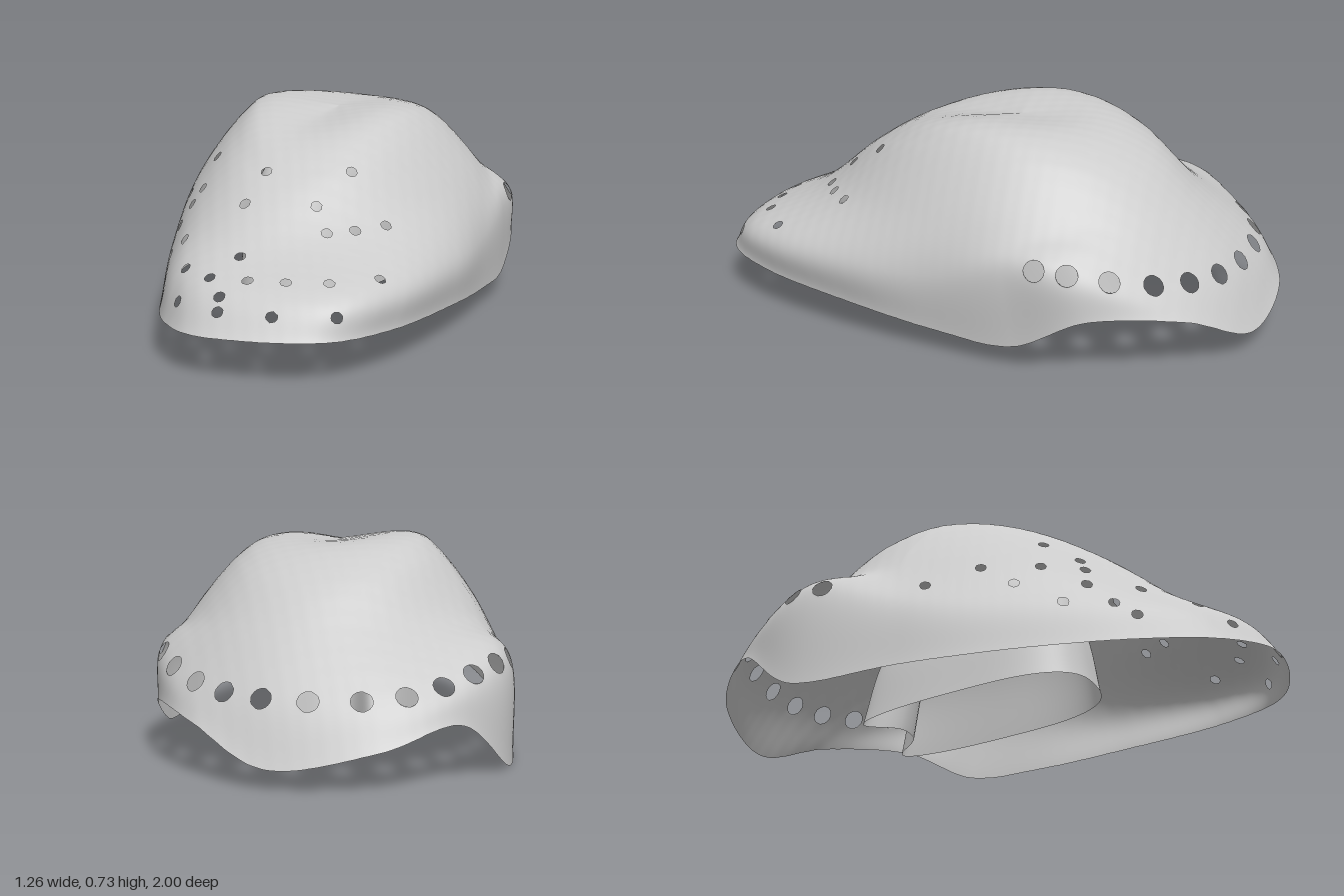
import * as THREE from 'three';

const material = new THREE.MeshStandardMaterial({ color: 0xcccccc, roughness: 0.8, side: THREE.DoubleSide });

// Lower rim of the shell, starting at the front and running round over +x
const rim = new THREE.CatmullRomCurve3([
  [0.05, 0.13, 1], [0.4, 0.13, 0.92], [0.55, 0.12, 0.66], [0.61, 0.1, 0.25],
  [0.605, 0.07, -0.1], [0.59, 0.07, -0.38], [0.54, 0.19, -0.63], [0.33, 0.17, -0.88],
  [0.05, 0.06, -1], [-0.3, 0.12, -0.95], [-0.52, 0.18, -0.75], [-0.63, 0, -0.5],
  [-0.575, 0.03, -0.14], [-0.475, 0.065, 0.2], [-0.325, 0.1, 0.58], [-0.16, 0.12, 0.87],
].map((p) => new THREE.Vector3(...p)), true, 'catmullrom', 0.5);

// Flank just above the rim: the rim drawn slightly in and lifted, highest beside the back
function flank(u) {
  const p = rim.getPoint(u);
  const y = 0.25 + 0.1 * Math.exp(-(((p.z + 0.53) / 0.33) ** 2));
  return new THREE.Vector3(p.x * (p.x > 0 ? 1.01 : 0.97), y, p.z * 0.9);
}

// Oval contour: half width, middle z, reach to front and back, heights at front, sides and back
function oval(width, midZ, front, back, yFront, ySide, yBack) {
  return (u) => {
    const s = Math.sin(u * 2 * Math.PI), c = Math.cos(u * 2 * Math.PI);
    const taper = s < 0 ? 1 - 0.22 * Math.max(0, c) : 1;
    return new THREE.Vector3(
      0.035 + width * s * taper,
      ySide + ((c > 0 ? yFront : yBack) - ySide) * c * c - 0.008 * s,
      midZ + (c > 0 ? front : back) * c,
    );
  };
}

const shellRings = [
  oval(0.23, -0.1, 0.36, 0.27, 0.64, 0.71, 0.69),
  oval(0.35, -0.14, 0.61, 0.43, 0.53, 0.65, 0.605),
  oval(0.5, -0.18, 0.88, 0.55, 0.35, 0.46, 0.46),
  flank,
  rim.getPoint.bind(rim),
];

// Contour of the inner cup: a rounded box in plan, folded inwards at the back
function cupRing(size, lift) {
  const square = (v) => Math.sign(v) * Math.abs(v) ** 0.7;
  return (u) => {
    const s = Math.sin(u * 2 * Math.PI), c = Math.cos(u * 2 * Math.PI);
    const fold = 0.22 * Math.max(0, -c) ** 8;
    const z = size * ((c > 0 ? 0.4 : 0.53) * square(c) - 0.05 + fold);
    return new THREE.Vector3(size * 0.23 * square(s), lift + 0.1 * z, z);
  };
}

// Rows of small vents over the front and sides: height, first x, last x, count
const ventRows = [
  [0.2, -0.29, 0.44, 5], [0.25, -0.38, -0.31, 2], [0.24, 0.06, 0.06, 1], [0.28, -0.13, 0.5, 6],
  [0.33, -0.52, -0.22, 4], [0.33, 0.05, 0.05, 1], [0.41, -0.43, -0.28, 3], [0.39, 0.28, 0.43, 3],
  [0.46, -0.25, 0.22, 3], [0.55, -0.26, 0.28, 3],
];

// Grid of points lofted outwards from a centre through closed rings
function loftPoints(centre, rings, around, out) {
  const points = [];
  for (let i = 0; i < around; i++) {
    const rib = new THREE.CatmullRomCurve3([centre, ...rings.map((ring) => ring(i / around))], false, 'catmullrom', 0.5);
    for (let j = 0; j <= out; j++) points.push(rib.getPoint(j / out));
  }
  return points;
}

// Smooth sheet over the grid, leaving out the triangles that skip() rejects
function sheet(name, points, around, out, skip = () => false) {
  const index = [];
  const add = (a, b, c) => { if (!skip(points[a], points[b], points[c])) index.push(a, b, c); };
  for (let i = 0; i < around; i++) {
    const p = i * (out + 1), q = ((i + 1) % around) * (out + 1);
    for (let j = 0; j < out; j++) {
      add(p + j, p + j + 1, q + j + 1);
      if (j > 0) add(p + j, q + j + 1, q + j);
    }
  }
  const geometry = new THREE.BufferGeometry().setFromPoints(points);
  geometry.setIndex(index);
  geometry.computeVertexNormals();
  const mesh = new THREE.Mesh(geometry, material);
  mesh.name = name;
  return mesh;
}

function createShell() {
  const around = 480, out = 120;
  const points = loftPoints(new THREE.Vector3(0.05, 0.692, -0.1), shellRings, around, out);

  // Slightly uneven, hand-worked surface
  for (const p of points) p.y += 0.0006 * Math.sin(p.x * 71 + p.z * 29) * Math.sin(p.z * 83 - p.x * 37);

  // Small vents sit on the surface point nearest to their place in the row
  const vents = [];
  for (const [y, first, last, count] of ventRows) {
    for (let k = 0; k < count; k++) {
      const x = first + (last - first) * (k / Math.max(1, count - 1));
      const cost = (p) => (p.z < -0.3 ? 9 : 0) + (p.x - x) ** 2 + (p.y - y) ** 2;
      vents.push({ r: 0.019, c: points.reduce((best, p) => (cost(p) < cost(best) ? p : best)).clone() });
    }
  }

  // Larger vents follow the flank round the back
  for (let k = 0; k < 13; k++) vents.push({ r: 0.036, c: flank((5.5 + k * 0.47) / 16) });

  // Push nearby points out to each vent's edge so that it is cut cleanly
  for (const { c, r } of vents) {
    for (const p of points) {
      const d = p.distanceTo(c);
      if (d < r && d > 0.45 * r) p.sub(c).multiplyScalar(r / d).add(c);
    }
  }
  const mid = new THREE.Vector3();
  return sheet('ventedShell', points, around, out, (a, b, d) => {
    mid.copy(a).add(b).add(d).divideScalar(3);
    return vents.some(({ c, r }) => mid.distanceTo(c) < 0.92 * r);
  });
}

function createCup() {
  const around = 96, out = 30;
  const rings = [cupRing(0.6, 0.5), cupRing(0.87, 0.3), cupRing(1, 0.068)];
  return sheet('innerCup', loftPoints(new THREE.Vector3(0, 0.57, -0.04), rings, around, out), around, out);
}

export function createModel() {
  const model = new THREE.Group();
  model.name = 'ventedCover';
  model.add(createShell(), createCup());
  return model;
}
